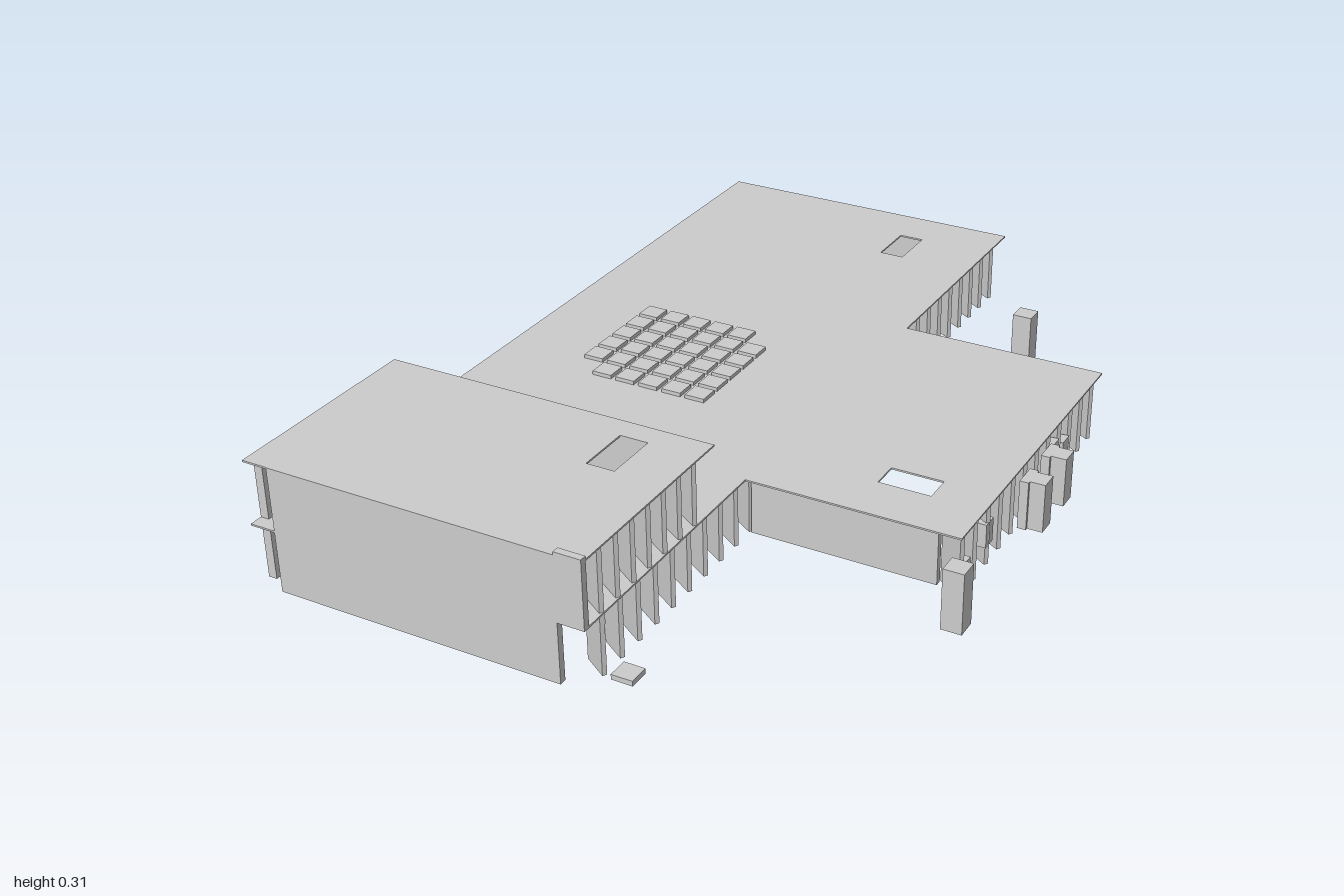
import * as THREE from 'three';

export function createModel() {
  const model = new THREE.Group();
  const concrete = new THREE.MeshStandardMaterial({ color: 0xcccccc });
  concrete.name = 'pale grey';

  // Box given by its limits on each axis
  const box = (name, x0, x1, y0, y1, z0, z1) => {
    const mesh = new THREE.Mesh(new THREE.BoxGeometry(x1 - x0, y1 - y0, z1 - z0), concrete);
    mesh.position.set((x0 + x1) / 2, (y0 + y1) / 2, (z0 + z1) / 2);
    mesh.name = name;
    model.add(mesh);
    return mesh;
  };

  // Thin horizontal slab from an outline in x and z, with rectangular openings
  const slab = (name, outline, holes, top) => {
    const shape = new THREE.Shape(outline.map(([x, z]) => new THREE.Vector2(x, -z)));
    for (const [x0, x1, z0, z1] of holes) {
      shape.holes.push(new THREE.Path([[x0, z0], [x1, z0], [x1, z1], [x0, z1]]
        .map(([x, z]) => new THREE.Vector2(x, -z))));
    }
    const geo = new THREE.ExtrudeGeometry(shape, { depth: 0.004, bevelEnabled: false });
    geo.rotateX(-Math.PI / 2);
    const mesh = new THREE.Mesh(geo, concrete);
    mesh.position.y = top - 0.004;
    mesh.name = name;
    model.add(mesh);
  };

  // Row of angled louvre blades running along z
  const louvres = (name, x, y0, y1, zStart, zEnd, count) => {
    for (let i = 0; i < count; i++) {
      const z = zStart + (zEnd - zStart) * i / (count - 1);
      const blade = box(name, x - 0.0325, x + 0.0325, y0, y1, z - 0.005, z + 0.005);
      blade.rotation.y = -0.57;
    }
  };

  // Roofs
  slab('lowerRoof', [[-0.665, 1], [0.12, 1], [0.12, 0.39], [0.605, 0.39],
    [0.605, -0.4], [0.12, -0.4], [0.12, -1], [-0.665, -1]],
    [[-0.12, -0.06, -0.88, -0.76], [0.365, 0.485, 0.205, 0.27]], 0.152);
  slab('upperRoof', [[-0.665, 1], [0.12, 1], [0.12, 0.515], [-0.665, 0.515]],
    [[-0.065, 0, 0.57, 0.695]], 0.298);

  // Long side wall, taller under the upper roof
  box('sideWall', -0.665, -0.645, 0.01, 0.148, -0.96, 0.97);
  box('upperSideWall', -0.665, -0.645, 0.152, 0.294, 0.56, 0.97);

  // Front wall and its raised corner piece
  box('frontWall', -0.605, 0.06, 0.01, 0.298, 0.985, 1.001);
  box('frontCorner', 0.06, 0.12, 0.15, 0.305, 0.985, 1.001);

  // Paired wall panels with a slot between them
  for (const [x0, x1] of [[-0.615, -0.31], [-0.255, 0.055]]) {
    box('backWall', x0, x1, 0.01, 0.148, -0.955, -0.94);
    box('innerWall', x0, x1, 0.01, 0.148, 0.555, 0.57);
    box('upperBackWall', x0, x1, 0.152, 0.294, 0.555, 0.57);
  }

  // Wing walls
  box('wingFrontWall', 0.12, 0.545, 0.01, 0.148, 0.35, 0.365);
  box('wingBackWall', 0.12, 0.545, 0.01, 0.148, -0.375, -0.36);

  // Louvre rows
  louvres('lowerLouvre', 0.09, 0.01, 0.148, 0.92, -0.935, 30);
  louvres('upperLouvre', 0.09, 0.152, 0.294, 0.92, 0.575, 7);
  louvres('wingLouvre', 0.575, 0.01, 0.148, 0.36, -0.36, 12);

  // Free-standing posts
  for (const [x, z] of [[0.335, -0.61], [0.637, 0.48]]) {
    box('post', x - 0.023, x + 0.023, 0.01, 0.15, z - 0.023, z + 0.023);
  }

  // Entrance blocks on the end of the wing
  for (const z of [-0.062, 0.058]) {
    box('entranceBlock', 0.625, 0.66, 0.01, 0.125, z - 0.022, z + 0.022);
    box('entranceFrame', 0.605, 0.625, 0.01, 0.125, z - 0.029, z + 0.029);
  }

  // Small boxes among the wing louvres
  for (const [z, top] of [[0.355, 0.08], [0.24, 0.11], [-0.125, 0.11], [-0.19, 0.085]]) {
    box('windowBox', 0.58, 0.604, 0.055, top, z - 0.018, z + 0.018);
  }

  // Skylight tiles, leaving out two opposite corners
  for (let i = 0; i < 6; i++) {
    for (let j = 0; j < 6; j++) {
      if ((i === 0 && j === 5) || (i === 5 && j === 0)) continue;
      const x = -0.294 + (i - 2.5) * 0.06, z = -0.03 + (j - 2.5) * 0.06;
      box('skylightTile', x - 0.024, x + 0.024, 0.152, 0.161, z - 0.024, z + 0.024);
    }
  }

  // Low floor pads: x0, x1, z0, z1
  const pads = [
    [-0.36, -0.18, 0.6, 0.78], [-0.48, -0.42, 0.64, 0.94], [-0.605, -0.55, 0.7, 0.76],
    [-0.605, -0.55, 0.15, 0.4], [-0.605, -0.55, -0.25, 0.03], [-0.605, -0.55, -0.695, -0.455],
    [-0.12, -0.06, -0.82, -0.76], [0.365, 0.425, 0.205, 0.27], [0.127, 0.175, 0.885, 0.932],
    [-0.12, -0.07, 0.83, 0.88],
  ];
  for (const [x0, x1, z0, z1] of pads) box('floorPad', x0, x1, 0, 0.012, z0, z1);

  // Small seats on the floor
  for (const [x, z] of [[-0.28, -0.07], [-0.29, -0.17], [-0.3, 0.05], [-0.12, 0.03],
    [-0.36, -0.45], [-0.46, -0.56], [-0.46, -0.64]]) {
    box('seat', x - 0.022, x + 0.022, 0.004, 0.02, z - 0.022, z + 0.022);
  }

  // Taller benches beside the long wall
  for (const z of [0.18, -0.215]) {
    box('bench', -0.545, -0.49, 0.005, 0.06, z - 0.03, z + 0.03);
  }

  return model;
}
